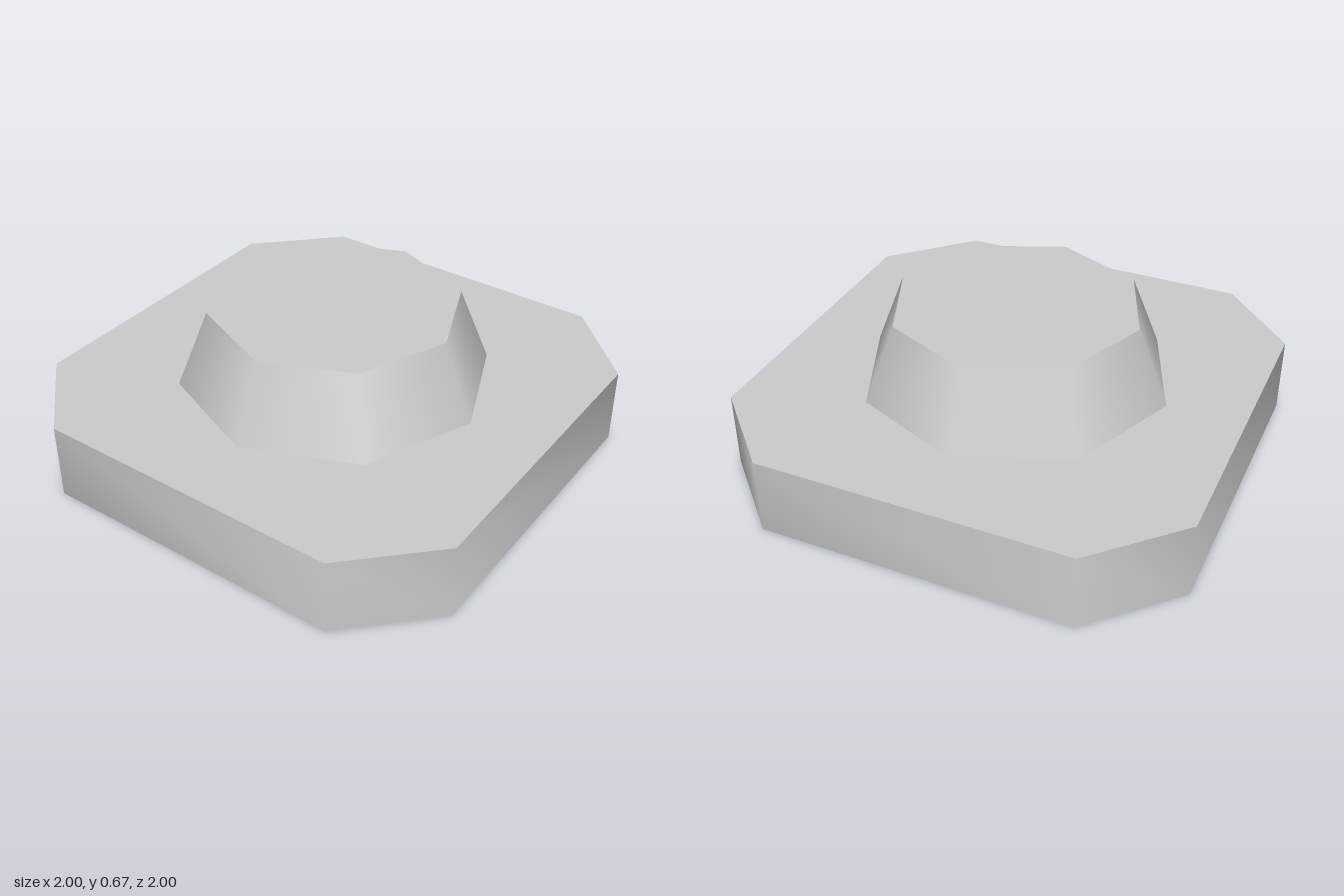
import * as THREE from 'three';
import { toCreasedNormals } from 'three/addons/utils/BufferGeometryUtils.js';

const LAYER = 1 / 3; // height of the base and of the stud
const RADIUS = 2 / 3; // stud foot and socket radius

export function createModel() {
  const group = new THREE.Group();
  const material = new THREE.MeshStandardMaterial({ color: 0xcccccc });

  const add = (name, geometry) => {
    const mesh = new THREE.Mesh(geometry, material);
    mesh.name = name;
    group.add(mesh);
    return mesh;
  };

  // Square plate with cut corners
  const corners = [];
  for (let i = 0; i < 4; i++) {
    for (const t of [-RADIUS, RADIUS]) {
      corners.push(new THREE.Vector2(1, t).rotateAround(new THREE.Vector2(), i * Math.PI / 2));
    }
  }
  const outline = new THREE.Shape(corners);

  // Octagonal socket through the plate, closed above by the stud's underside
  const socket = [];
  for (let i = 0; i < 8; i++) {
    const a = -i * Math.PI / 4;
    socket.push(new THREE.Vector2(Math.cos(a), Math.sin(a)).multiplyScalar(RADIUS));
  }
  outline.holes.push(new THREE.Path(socket));

  const plate = new THREE.ExtrudeGeometry(outline, { depth: LAYER, bevelEnabled: false });
  plate.rotateX(-Math.PI / 2);
  // Blend the 45 degree side corners, keep the rims sharp
  add('base', toCreasedNormals(plate, Math.PI / 3));

  // Tapered octagonal stud
  const stud = add('stud', new THREE.CylinderGeometry(0.533, RADIUS, LAYER, 8));
  stud.position.y = LAYER * 1.5;

  return group;
}
